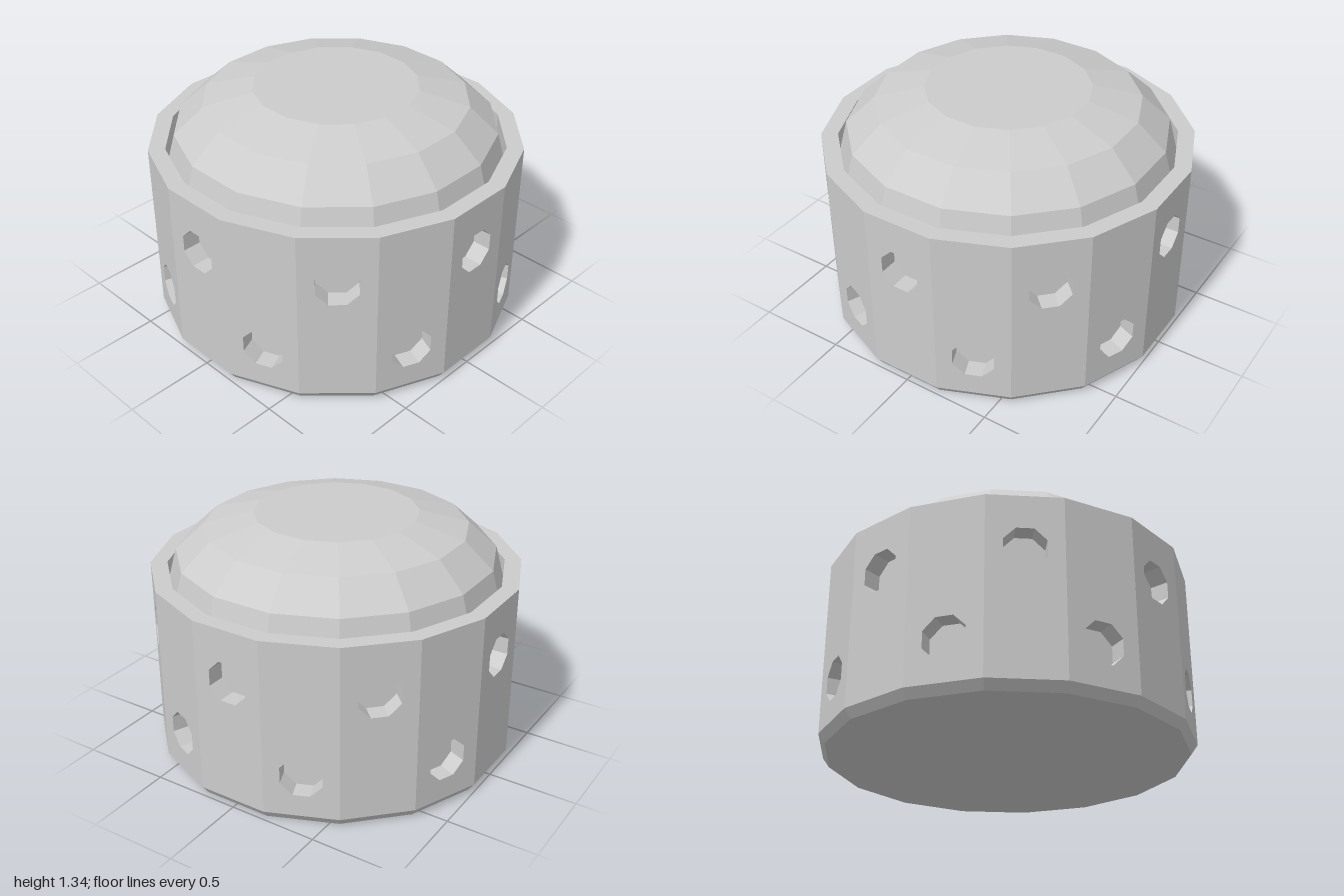
import * as THREE from 'three';

const SIDES = 16;
const BOTTOM = 0.05, TOP = 1.04;
const HOLE_APOTHEM = 0.11, HOLE_DEPTH = 0.1;

// Faceted lathe whose profile radii are measured to the middle of each flat side
function facetLathe(profile, sides) {
  const k = 1 / Math.cos(Math.PI / sides);
  const pts = profile.map(([r, y]) => new THREE.Vector2(r * k, y));
  const g = new THREE.LatheGeometry(pts, sides, Math.PI / sides).toNonIndexed();
  g.computeVertexNormals();
  return g;
}

// Flat wall panel with one octagonal hole
function panelGeometry(holeY) {
  const w = Math.tan(Math.PI / SIDES);
  const shape = new THREE.Shape([
    new THREE.Vector2(-w, BOTTOM), new THREE.Vector2(w, BOTTOM),
    new THREE.Vector2(w, TOP), new THREE.Vector2(-w, TOP),
  ]);
  const r = HOLE_APOTHEM / Math.cos(Math.PI / 8);
  const ring = [];
  for (let i = 0; i < 8; i++) {
    const a = -(i + 0.5) * Math.PI / 4;
    ring.push(new THREE.Vector2(r * Math.cos(a), holeY + r * Math.sin(a)));
  }
  shape.holes.push(new THREE.Path(ring));
  return new THREE.ShapeGeometry(shape);
}

export function createModel() {
  const model = new THREE.Group();
  model.name = 'domedDrum';
  const grey = new THREE.MeshStandardMaterial({ color: 0xcccccc });
  grey.name = 'light grey';

  const add = (parent, name, geometry) => {
    const mesh = new THREE.Mesh(geometry, grey);
    mesh.name = name;
    parent.add(mesh);
    return mesh;
  };

  // Base with chamfered edge
  add(model, 'base', facetLathe([[0, 0], [0.965, 0], [1, BOTTOM]], SIDES));

  // Flat rim and the inside of its lip
  add(model, 'rim', facetLathe([[1, TOP], [0.91, TOP], [0.91, 0.93]], SIDES));

  // Faceted dome with a flat cap
  add(model, 'dome', facetLathe(
    [[0.91, 0.93], [0.86, 1.12], [0.705, 1.265], [0.44, 1.335], [0, 1.335]], SIDES));

  // Blind octagonal pocket, opening towards +z
  const pocket = facetLathe(
    [[HOLE_APOTHEM, 0], [HOLE_APOTHEM, -HOLE_DEPTH], [0, -HOLE_DEPTH]], 8);
  pocket.rotateX(Math.PI / 2);

  // Wall panels, with holes alternating between a high and a low row
  const rows = [0.745, 0.285].map((y) => ({ y, panel: panelGeometry(y) }));
  for (let i = 0; i < SIDES; i++) {
    const { y, panel } = rows[i % 2];
    const side = new THREE.Group();
    side.name = 'wallSide' + (i + 1);
    side.rotation.y = i * 2 * Math.PI / SIDES;
    add(side, 'wallPanel', panel).position.z = 1;
    add(side, 'holePocket', pocket).position.set(0, y, 1);
    model.add(side);
  }
  return model;
}
